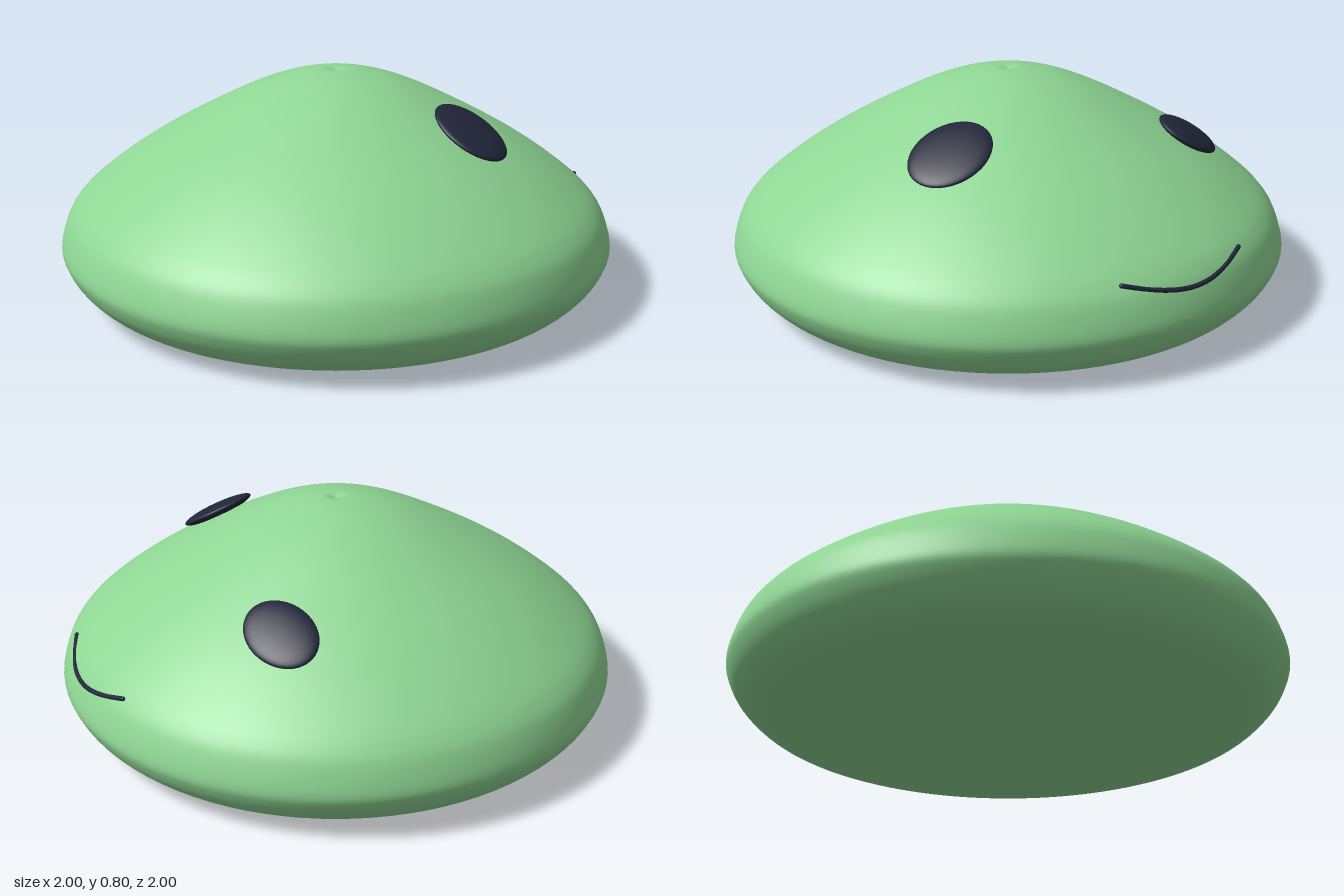
import * as THREE from 'three';

const green = new THREE.MeshStandardMaterial({ color: 0x8fd694 });
const dark = new THREE.MeshStandardMaterial({ color: 0x22263a });

function named(name, geometry, material) {
  const mesh = new THREE.Mesh(geometry, material);
  mesh.name = name;
  return mesh;
}

// Flattened ellipsoid lying tangent to the dome.
// (x, z) is its centre, xx/xz/zz the spread of its outline seen from above,
// slope the steepness of the dome there.
function makeEye(name, x, y, z, xx, xz, zz, slope) {
  const r = Math.hypot(x, z);
  const gx = slope * x / r, gz = slope * z / r;
  const ax = Math.sqrt(xx), az = xz / ax, bz = Math.sqrt(zz - az * az);
  const normal = new THREE.Vector3(-gx, 1, -gz).normalize().multiplyScalar(0.025);
  const basis = new THREE.Matrix4().makeBasis(
    new THREE.Vector3(ax, gx * ax + gz * az, az),
    normal,
    new THREE.Vector3(0, gz * bz, bz)
  );
  basis.setPosition(x, y, z);
  const geometry = new THREE.SphereGeometry(1, 40, 24).applyMatrix4(basis);
  return named(name, geometry, dark);
}

export function createModel() {
  const model = new THREE.Group();
  model.name = 'blob';

  // Dome body: flat underside, rounded rim, tiny dimple on top
  const side = new THREE.SplineCurve([
    [0.7, 0.006], [0.8, 0.015], [0.89, 0.042], [0.955, 0.095], [0.99, 0.15], [1, 0.2],
    [0.974, 0.285], [0.94, 0.337], [0.89, 0.385], [0.8, 0.455], [0.7, 0.523], [0.6, 0.583],
    [0.5, 0.638], [0.4, 0.69], [0.3, 0.737], [0.2, 0.774], [0.1, 0.798], [0.04, 0.804]
  ].map(([x, y]) => new THREE.Vector2(x, y)));
  const profile = [
    new THREE.Vector2(0, 0), new THREE.Vector2(0.35, 0.001),
    ...side.getPoints(80),
    new THREE.Vector2(0.02, 0.8), new THREE.Vector2(0, 0.79)
  ];
  model.add(named('body', new THREE.LatheGeometry(profile, 96), green));

  // Eyes
  model.add(makeEye('leftEye', 0.275, 0.638, 0.453, 0.0164, -0.0017, 0.0191, -0.57));
  model.add(makeEye('rightEye', 0.435, 0.568, -0.48, 0.011, 0.004, 0.0177, -0.64));

  // Smile wrapped round the side of the body
  const smile = new THREE.CatmullRomCurve3([
    [0.907, 0.337, 0.26], [0.942, 0.312, 0.17], [0.967, 0.296, 0.08], [0.973, 0.29, 0],
    [0.967, 0.296, -0.08], [0.942, 0.312, -0.17], [0.907, 0.337, -0.26]
  ].map(p => new THREE.Vector3(...p)));
  const mouth = new THREE.Group();
  mouth.name = 'mouth';
  mouth.add(named('smile', new THREE.TubeGeometry(smile, 48, 0.008, 10), dark));
  for (const t of [0, 1]) {
    const tip = named('smileTip', new THREE.SphereGeometry(0.008, 12, 8), dark);
    tip.position.copy(smile.getPoint(t));
    mouth.add(tip);
  }
  model.add(mouth);

  return model;
}
